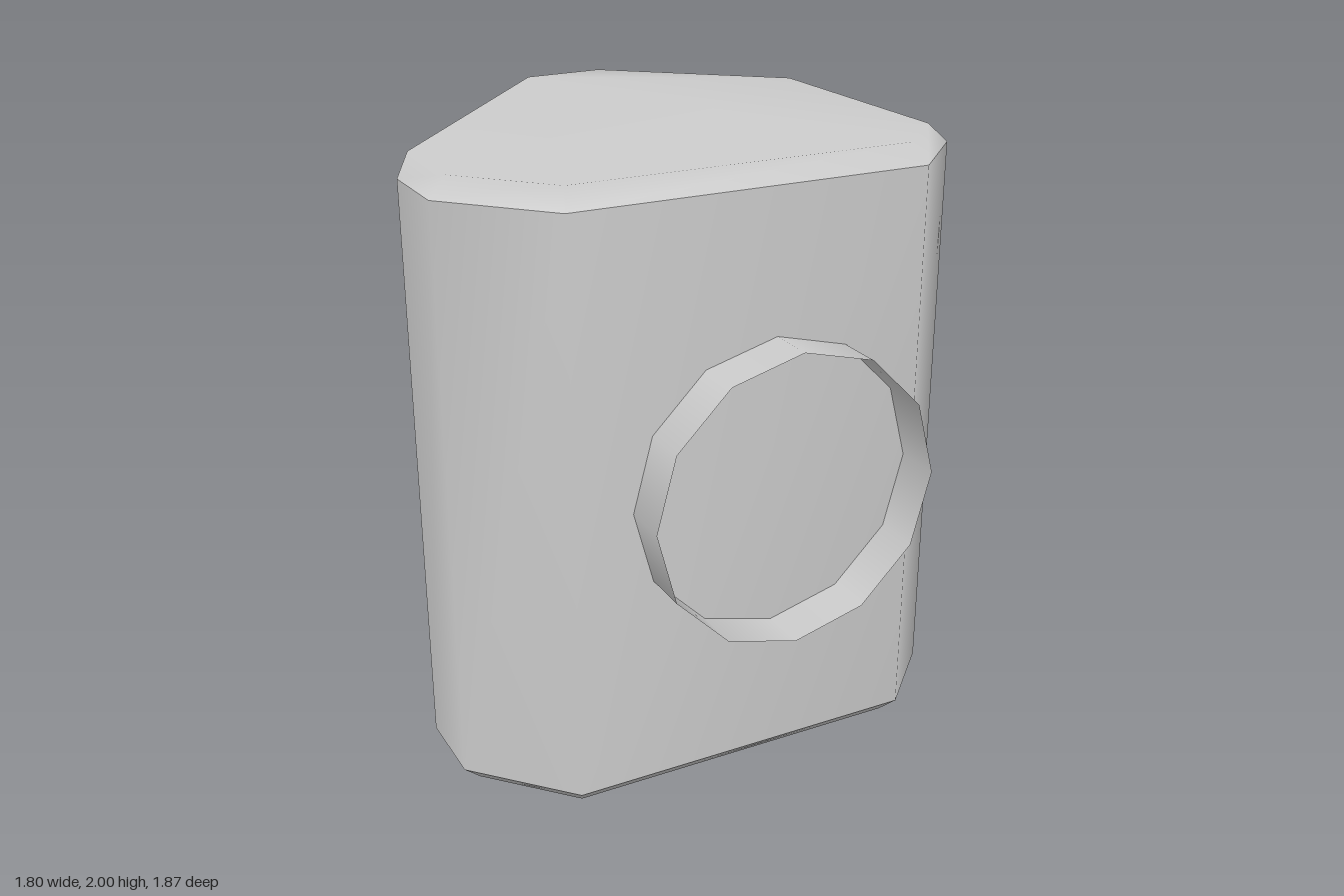
import * as THREE from 'three';

const HEIGHT = 2, BEVEL = 0.06;

// Footprint (x, z), clockwise from above; the closing edge is the flat unbevelled face
const OUTLINE = [
  [-0.9, -0.49], [-0.78, -0.71], [-0.05, -0.94], [0.71, -0.47],
  [0.78, -0.15], [0.15, 0.85], [-0.25, 0.93], [-0.48, 0.79],
].map(([x, z]) => new THREE.Vector2(x, z));
const N = OUTLINE.length;

// Move every edge inward except the closing one, then intersect neighbours
function insetOutline(d) {
  const edges = OUTLINE.map((p, i) => {
    const dir = OUTLINE[(i + 1) % N].clone().sub(p).normalize();
    const inward = new THREE.Vector2(-dir.y, dir.x);
    return { p: p.clone().addScaledVector(inward, i === N - 1 ? 0 : d), dir };
  });
  return edges.map((e, i) => {
    const f = edges[(i + N - 1) % N];
    const t = e.p.clone().sub(f.p).cross(e.dir) / f.dir.cross(e.dir);
    return f.p.clone().addScaledVector(f.dir, t);
  });
}

function indexed(points, index) {
  const g = new THREE.BufferGeometry();
  g.setAttribute('position', new THREE.Float32BufferAttribute(points.flatMap((p) => p.toArray()), 3));
  g.setIndex(index);
  g.computeVertexNormals();
  return g;
}

// Smooth band between two levels, leaving out the flat face
function bandIndex() {
  const index = [];
  for (let i = 0; i < N - 1; i++) index.push(i, i + N, i + 1, i + 1, i + N, i + N + 1);
  return index;
}

export function createModel() {
  const group = new THREE.Group();
  const grey = new THREE.MeshStandardMaterial({ color: 0xcccccc });
  const greyDouble = new THREE.MeshStandardMaterial({ color: 0xcccccc, side: THREE.DoubleSide });
  const add = (name, geometry, material = grey) => {
    const mesh = new THREE.Mesh(geometry, material);
    mesh.name = name;
    group.add(mesh);
    return mesh;
  };

  const level = (outline, y) => outline.map((p) => new THREE.Vector3(p.x, y, p.y));
  const inner = insetOutline(BEVEL);
  const bottom = level(inner, 0), low = level(OUTLINE, BEVEL);
  const high = level(OUTLINE, HEIGHT - BEVEL), top = level(inner, HEIGHT);

  // Rounded side wall
  add('sideWall', indexed([...low, ...high], bandIndex()));

  // Top and bottom caps, each with its bevel
  const topIndex = bandIndex(), bottomIndex = bandIndex();
  for (let i = 1; i < N - 1; i++) {
    topIndex.push(N, N + i + 1, N + i);
    bottomIndex.push(0, i, i + 1);
  }
  add('topCap', indexed([...high, ...top], topIndex));
  add('bottomCap', indexed([...bottom, ...low], bottomIndex));

  // Flat side with clipped corners
  const rows = [bottom, low, high, top];
  const flatIndex = [];
  for (let r = 0; r < 3; r++) {
    const a = r * 2;
    flatIndex.push(a, a + 2, a + 1, a + 1, a + 2, a + 3);
  }
  add('flatSide', indexed(rows.flatMap((row) => [row[N - 1], row[0]]), flatIndex));

  // Thin open collar standing out from the long slanted side
  const depth = 0.16;
  const axis = new THREE.Vector3(0.846, 0, 0.533).normalize();
  const collarGeometry = new THREE.CylinderGeometry(0.48, 0.48, depth, 12, 1, true);
  collarGeometry.rotateX(Math.PI / 2);
  const collar = add('collar', collarGeometry, greyDouble);
  collar.rotation.y = Math.atan2(axis.x, axis.z);
  collar.position.set(0.505, 1, 0.28).addScaledVector(axis, depth / 2);

  return group;
}
